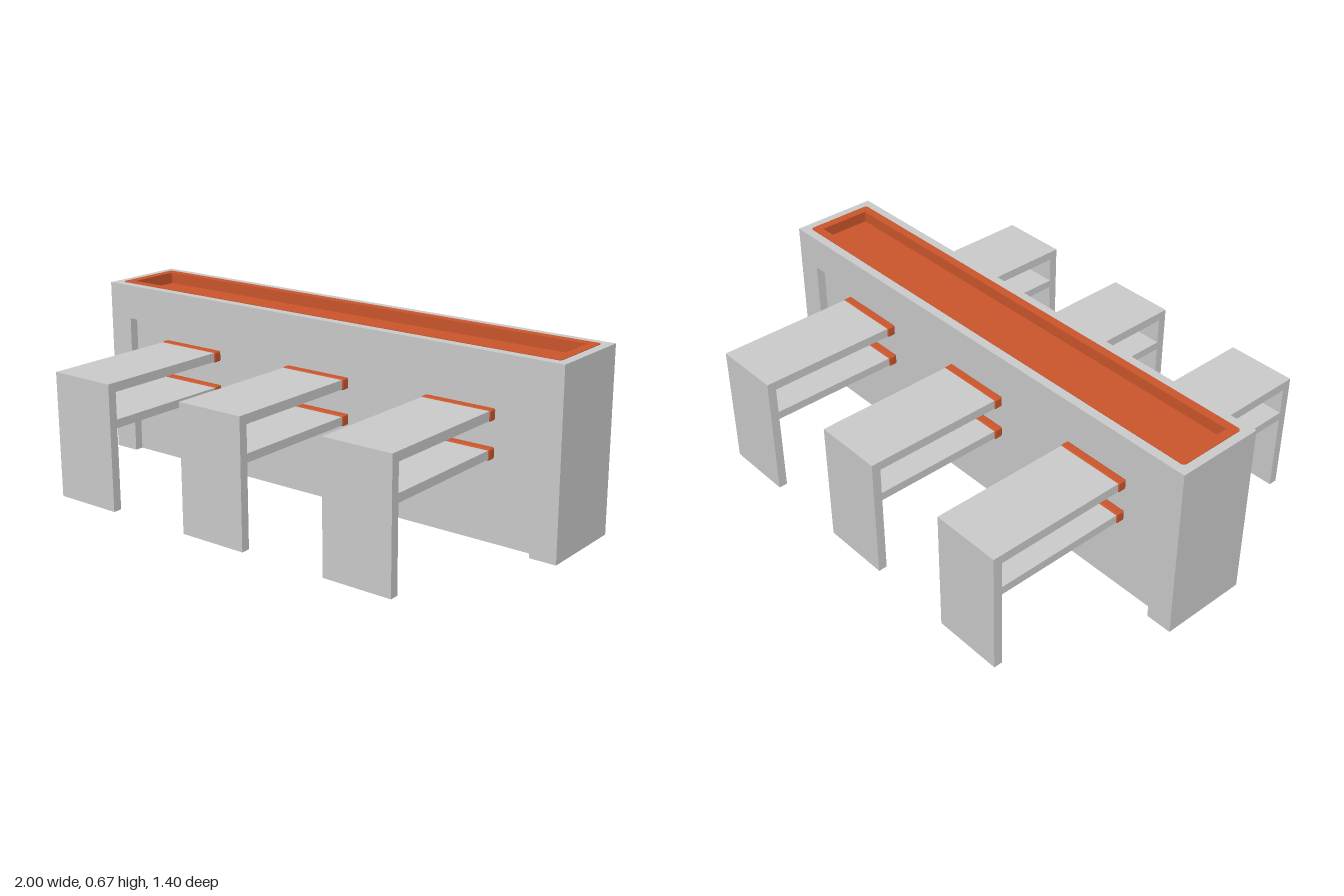
import * as THREE from 'three';
import { RoundedBoxGeometry } from 'three/addons/geometries/RoundedBoxGeometry.js';

const W = 1, H = 0.667, D = 0.167;   // half width, height, half depth of the counter
const WALL = 0.133;                  // z of the recessed wall
const FLOOR = 0.627;                 // height of the tray floor

export function createModel() {
  const grey = new THREE.MeshStandardMaterial({ color: 0xcccccc });
  grey.name = 'light grey panel';
  const orange = new THREE.MeshStandardMaterial({ color: 0xcc562c });
  orange.name = 'orange trim';

  const add = (parent, name, geometry, material, x = 0, y = 0, z = 0) => {
    const mesh = new THREE.Mesh(geometry, material);
    mesh.name = name;
    mesh.position.set(x, y, z);
    parent.add(mesh);
    return mesh;
  };

  // box given by its lower and upper corners
  const block = (parent, name, material, a, b) =>
    add(parent, name, new THREE.BoxGeometry(b[0] - a[0], b[1] - a[1], b[2] - a[2]), material,
      (a[0] + b[0]) / 2, (a[1] + b[1]) / 2, (a[2] + b[2]) / 2);

  // rectangle outline with slightly clipped corners
  const outline = (Type, x, z, c = 0) => {
    const p = new Type();
    const pts = c === 0
      ? [[-x, -z], [x, -z], [x, z], [-x, z]]
      : [[-x + c, -z], [x - c, -z], [x, -z + c], [x, z - c], [x - c, z], [-x + c, z], [-x, z - c], [-x, -z + c]];
    p.setFromPoints(pts.map(([u, v]) => new THREE.Vector2(u, v)));
    p.closePath();
    return p;
  };

  // horizontal frame rising from y0 to y1
  const ring = (outer, hole, y0, y1) => {
    outer.holes.push(hole);
    return new THREE.ExtrudeGeometry(outer, { depth: y1 - y0, bevelEnabled: false })
      .rotateX(-Math.PI / 2).translate(0, y0, 0);
  };

  const model = new THREE.Group();
  model.name = 'planterCounter';

  // counter body
  const body = new THREE.Group();
  body.name = 'counterBody';
  model.add(body);
  block(body, 'core', grey, [-W, 0, -WALL], [W, FLOOR - 0.006, WALL]);
  add(body, 'topRim', ring(outline(THREE.Shape, W, D), outline(THREE.Path, 0.967, WALL, 0.008), FLOOR - 0.006, H), grey);

  // arched face frame that leaves the recess open
  const arch = new THREE.Shape([
    [-W, 0], [-0.9, 0], [-0.9, 0.537], [0.9, 0.537], [0.9, 0], [W, 0], [W, FLOOR - 0.006], [-W, FLOOR - 0.006],
  ].map(([x, y]) => new THREE.Vector2(x, y)));
  const archGeometry = new THREE.ExtrudeGeometry(arch, { depth: D - WALL, bevelEnabled: false });
  add(body, 'frontFrame', archGeometry, grey, 0, 0, WALL);
  add(body, 'backFrame', archGeometry, grey, 0, 0, -D);

  // sunken tray on top
  const tray = new THREE.Group();
  tray.name = 'tray';
  model.add(tray);
  add(tray, 'trayRim', ring(outline(THREE.Shape, 0.967, WALL, 0.008), outline(THREE.Path, 0.933, 0.1), FLOOR - 0.006, H + 0.002), orange);
  block(tray, 'trayFloor', orange, [-0.933, FLOOR - 0.006, -0.1], [0.933, FLOOR, 0.1]);

  // three seats with shelves on each long side
  const half = 0.1325;
  for (const side of [1, -1]) {
    for (const x of [-0.6, 0, 0.6]) {
      const table = new THREE.Group();
      table.name = side > 0 ? 'frontTable' : 'backTable';
      table.position.x = x;
      table.rotation.y = side > 0 ? 0 : Math.PI;
      model.add(table);
      block(table, 'leg', grey, [-half, 0, 0.667], [half, 0.433, 0.7]);
      block(table, 'tableTop', grey, [-half, 0.433, 0.155], [half, 0.467, 0.7]);
      block(table, 'shelf', grey, [-half, 0.302, 0.155], [half, 0.333, 0.667]);
      // collars where the slabs meet the wall
      for (const y of [0.45, 0.3175]) {
        add(table, 'collar', new RoundedBoxGeometry(2 * half + 0.008, 0.04, 0.034, 2, 0.006), orange, 0, y, 0.149);
      }
    }
  }
  return model;
}
